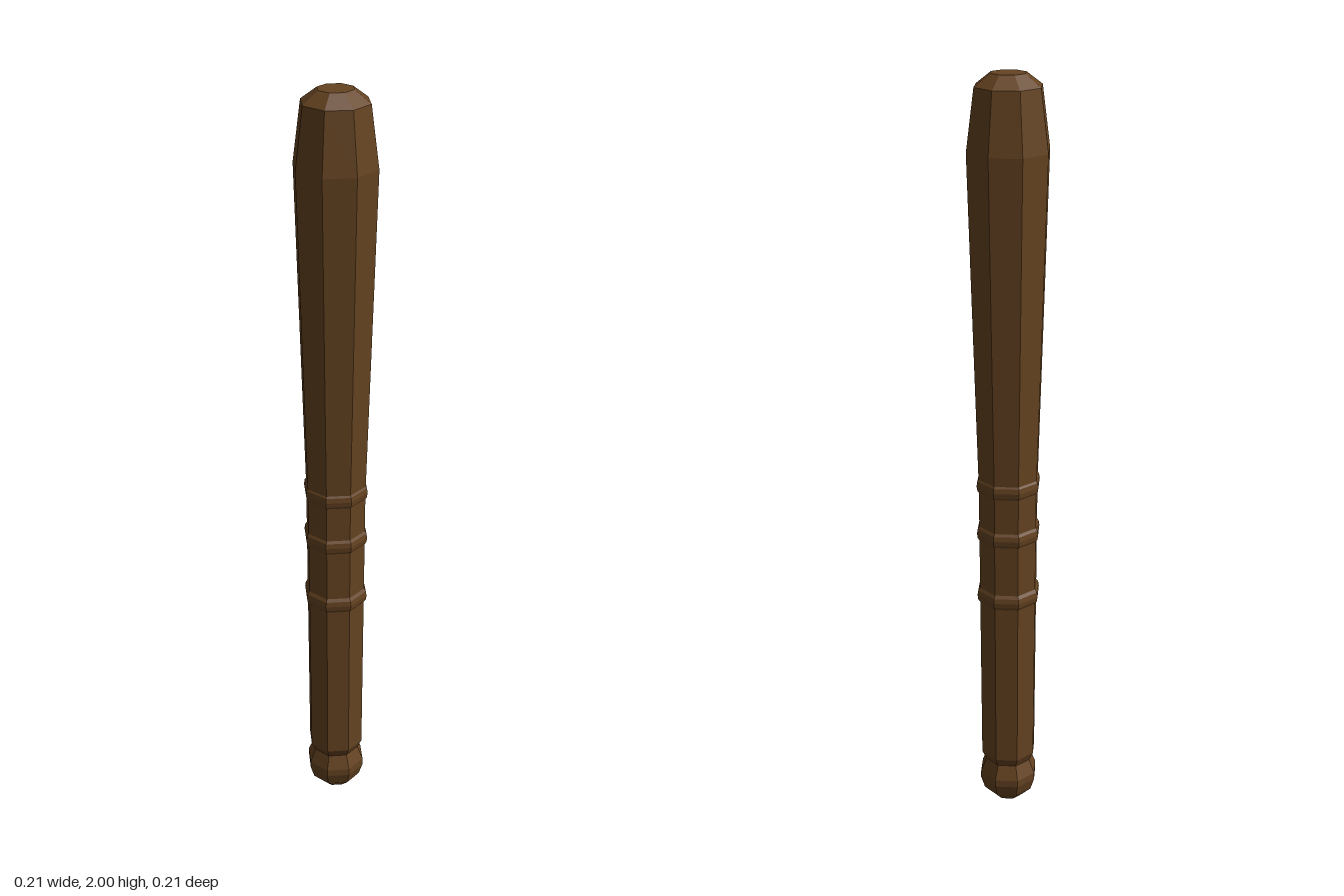
import * as THREE from 'three';

const SIDES = 8;
const wood = new THREE.MeshStandardMaterial({ color: 0x654321, flatShading: true });

// Faceted turned part from [radius, height] pairs, listed bottom to top
function turned(name, profile) {
  const points = profile.map(([r, y]) => new THREE.Vector2(r, y));
  const geometry = new THREE.LatheGeometry(points, SIDES).toNonIndexed();
  geometry.computeVertexNormals();
  const mesh = new THREE.Mesh(geometry, wood);
  mesh.name = name;
  return mesh;
}

export function createModel() {
  const group = new THREE.Group();
  group.name = 'woodenClub';

  // Rounded knob at the butt
  group.add(turned('pommel', [
    [0, 0], [0.04, 0.011], [0.069, 0.04], [0.08, 0.075],
    [0.08, 0.095], [0.064, 0.135],
  ]));

  // Straight handle rising from the narrow neck
  group.add(turned('handle', [
    [0.064, 0.135], [0.076, 0.16], [0.08, 0.96],
  ]));

  // Flaring head with a chamfered, flat tip
  group.add(turned('head', [
    [0.08, 0.96], [0.105, 1.82], [0.085, 1.97], [0.045, 2], [0, 2],
  ]));

  // Raised grip rings
  [0.65, 0.83, 0.965].forEach((y, i) => {
    const ring = turned('gripRing' + (i + 1), [
      [0.076, -0.025], [0.084, -0.013], [0.086, 0], [0.084, 0.013], [0.076, 0.025],
    ]);
    ring.position.y = y;
    group.add(ring);
  });

  return group;
}
